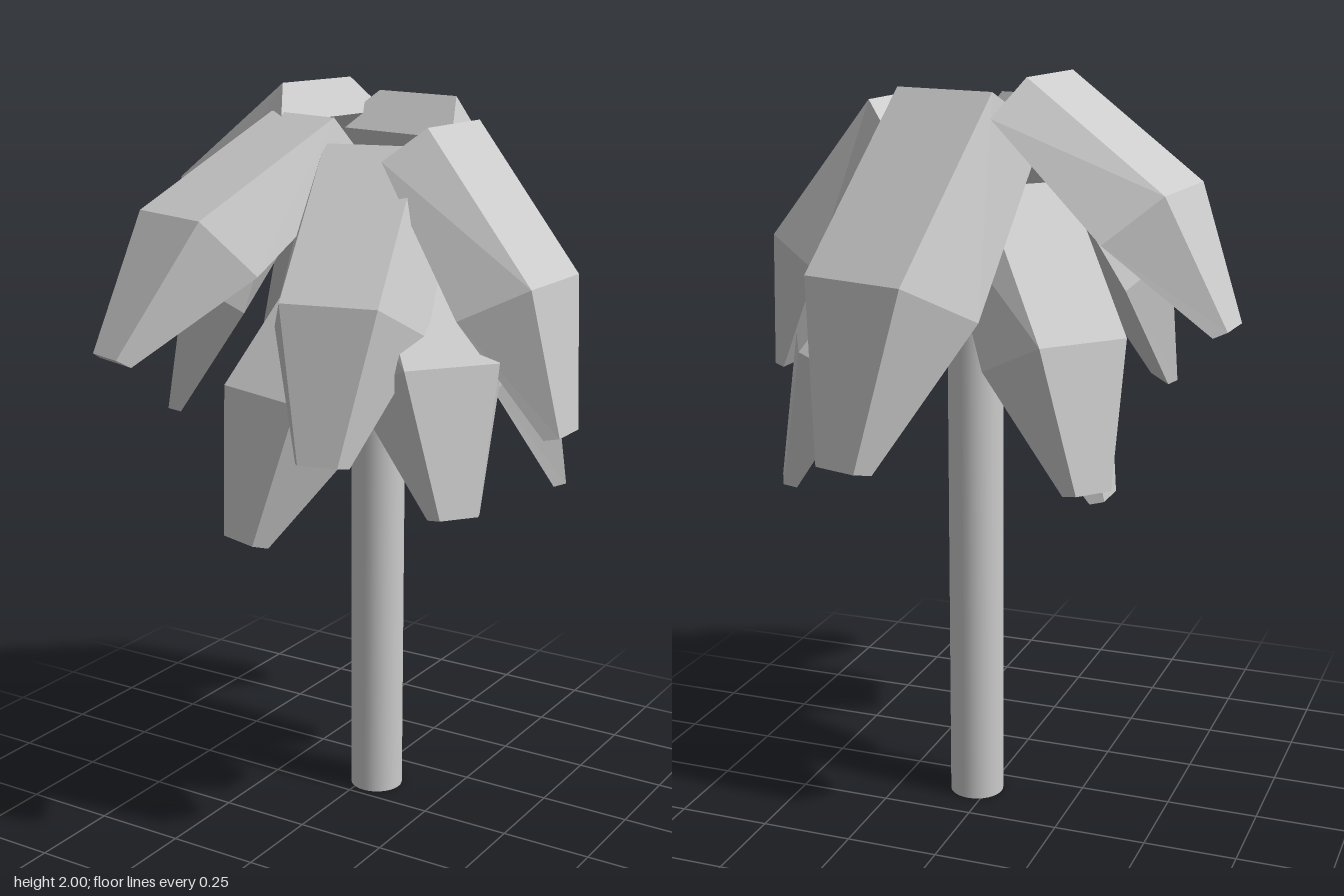
import * as THREE from 'three';

const material = new THREE.MeshStandardMaterial({ color: 0xcccccc, flatShading: true });

// One frond: three trapezoid sections (root, bend, tip), flat underneath.
// Each section: [topX, topY, topHalfWidth, bottomX, bottomY, bottomHalfWidth]
const SECTIONS = [
  [0, 0, 0.135, -0.085, -0.08, 0.21],
  [0.29, -0.37, 0.135, 0.13, -0.45, 0.215],
  [0.34, -0.75, 0.055, 0.305, -0.755, 0.075],
];

function frondGeometry() {
  const points = [];
  for (const [tx, ty, tw, bx, by, bw] of SECTIONS) {
    points.push(tx, ty, tw, tx, ty, -tw, bx, by, -bw, bx, by, bw);
  }
  const index = [];
  const quad = (a, b, c, d) => index.push(a, b, c, a, c, d);
  for (let s = 0; s < SECTIONS.length - 1; s++) {
    for (let k = 0; k < 4; k++) {
      const n = (k + 1) % 4;
      quad(s * 4 + k, s * 4 + 4 + k, s * 4 + 4 + n, s * 4 + n);
    }
  }
  const last = (SECTIONS.length - 1) * 4;
  quad(0, 1, 2, 3); // root cap
  quad(last + 3, last + 2, last + 1, last); // tip cap
  const indexed = new THREE.BufferGeometry();
  indexed.setAttribute('position', new THREE.Float32BufferAttribute(points, 3));
  indexed.setIndex(index);
  const geometry = indexed.toNonIndexed();
  geometry.computeVertexNormals();
  return geometry;
}

// Root position, outward direction (x, z), upward tilt in degrees, scale, width factor
const FRONDS = [
  // upper tier
  { name: 'upperFrondLeft', at: [0.33, 1.92, 0.04], dir: [1, 0], tilt: 0, scale: 1, width: 1 },
  { name: 'upperFrondRight', at: [-0.18, 2.0, -0.125], dir: [-1, -0.06], tilt: 15, scale: 0.95, width: 1.2 },
  { name: 'upperFrondBack', at: [0.05, 1.965, -0.265], dir: [0.11, -0.365], tilt: 2, scale: 1.19, width: 0.93 },
  { name: 'upperFrondFront', at: [-0.075, 1.93, 0.11], dir: [-0.2, 0.56], tilt: 23.5, scale: 1, width: 0.98 },
  { name: 'upperFrondFrontLeft', at: [0.17, 1.87, 0.17], dir: [0.08, 0.38], tilt: 4, scale: 1, width: 0.93 },
  // lower tier
  { name: 'lowerFrondFront', at: [0.04, 1.59, 0.05], dir: [-0.12, 0.38], tilt: 4, scale: 1, width: 1.1 },
  { name: 'lowerFrondFrontLeft', at: [0.245, 1.72, 0.115], dir: [0.45, 0.35], tilt: 1, scale: 0.97, width: 0.96 },
  { name: 'lowerFrondBackLeft', at: [0.2, 1.67, -0.175], dir: [0.42, -0.22], tilt: 0, scale: 0.98, width: 0.95 },
  { name: 'lowerFrondBackRight', at: [-0.135, 1.73, -0.18], dir: [-0.4, -0.35], tilt: 1, scale: 0.97, width: 0.95 },
  { name: 'lowerFrondFrontRight', at: [-0.13, 1.87, 0.075], dir: [-0.44, 0.31], tilt: 1, scale: 0.96, width: 0.96 },
  { name: 'lowerFrondRight', at: [-0.01, 1.64, -0.09], dir: [-1, 0], tilt: 0, scale: 0.98, width: 1 },
];

export function createModel() {
  const model = new THREE.Group();
  model.name = 'palmTree';

  // Trunk
  const trunkHeight = 1.6;
  const trunkMaterial = new THREE.MeshStandardMaterial({ color: 0xcccccc });
  const trunk = new THREE.Mesh(new THREE.CylinderGeometry(0.074, 0.074, trunkHeight, 32), trunkMaterial);
  trunk.name = 'trunk';
  trunk.position.set(0.034, trunkHeight / 2, -0.095);
  model.add(trunk);

  // Crown of drooping fronds
  const crown = new THREE.Group();
  crown.name = 'crown';
  const geometry = frondGeometry();
  for (const { name, at, dir, tilt, scale, width } of FRONDS) {
    const frond = new THREE.Mesh(geometry, material);
    frond.name = name;
    frond.position.set(...at);
    frond.rotation.set(0, Math.atan2(-dir[1], dir[0]), THREE.MathUtils.degToRad(tilt), 'YZX');
    frond.scale.set(scale, scale, scale * width);
    crown.add(frond);
  }
  model.add(crown);
  return model;
}
